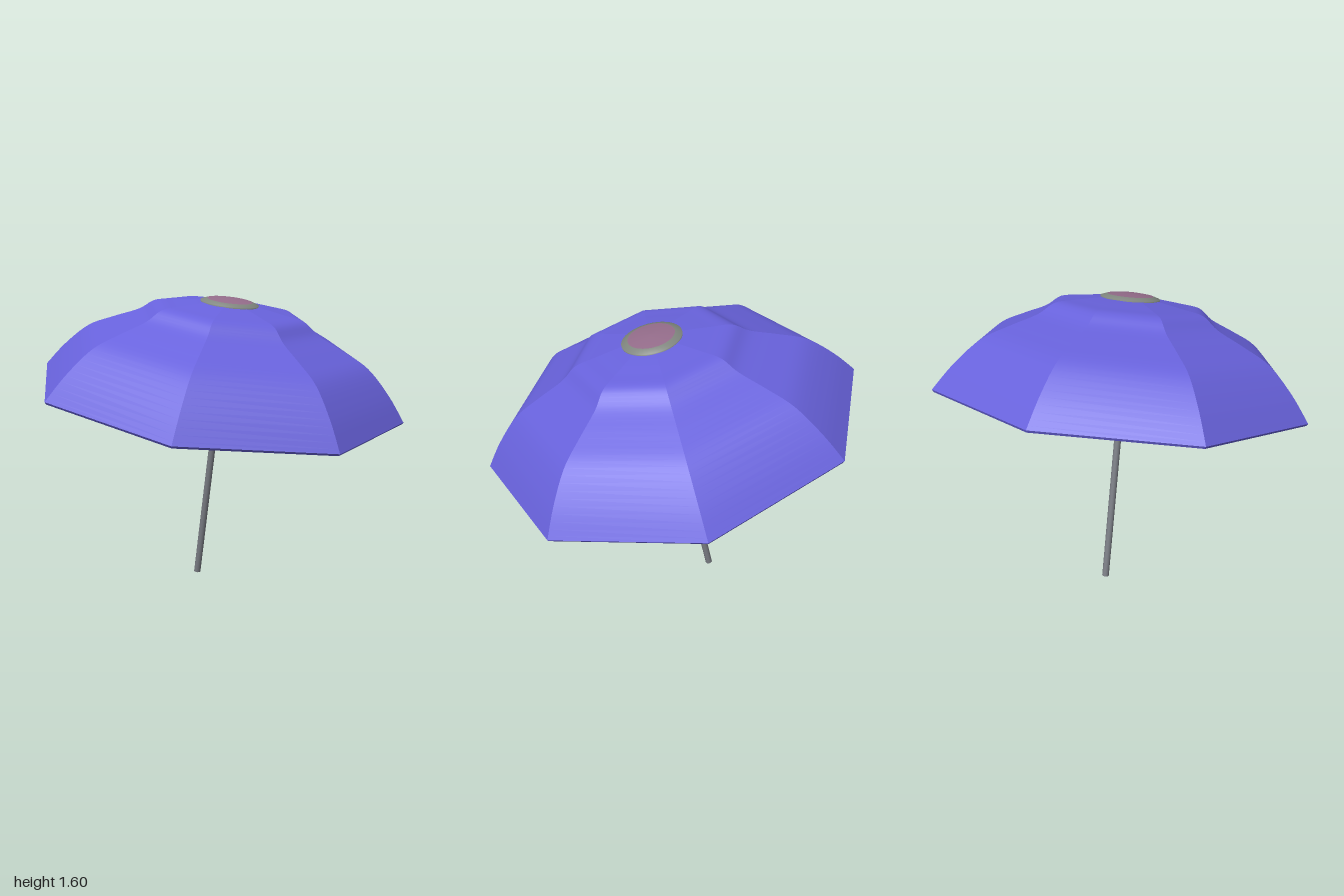
import * as THREE from 'three';
import { mergeGeometries } from 'three/addons/utils/BufferGeometryUtils.js';

const SIDES = 8;
const V = (r, h) => new THREE.Vector2(r, h);

// One panel between two neighbouring ribs, smooth along the profile
function panel(profile, index) {
  const positions = [], faces = [];
  const angles = [index, index + 1].map(k => (k / SIDES) * Math.PI * 2);
  for (const p of profile) {
    for (const t of angles) positions.push(p.x * Math.sin(t), p.y, p.x * Math.cos(t));
  }
  for (let i = 0; i < profile.length - 1; i++) {
    const a = i * 2;
    faces.push(a, a + 2, a + 3, a, a + 3, a + 1);
  }
  const g = new THREE.BufferGeometry();
  g.setAttribute('position', new THREE.Float32BufferAttribute(positions, 3));
  g.setIndex(faces);
  g.computeVertexNormals();
  return g;
}

// All panels around the axis, creased at the ribs
function panels(profile) {
  return mergeGeometries(Array.from({ length: SIDES }, (_, k) => panel(profile, k)));
}

export function createModel() {
  const fabric = new THREE.MeshStandardMaterial({ name: 'blue fabric', color: 0x6862dc });
  const metal = new THREE.MeshStandardMaterial({ name: 'grey metal', color: 0x7b7e85 });
  const trim = new THREE.MeshStandardMaterial({ name: 'grey green trim', color: 0x80867f });
  const badge = new THREE.MeshStandardMaterial({ name: 'dusty pink', color: 0x946c8a });

  const model = new THREE.Group();
  model.name = 'parasol';

  // Everything leans forward about the centre of the canopy rim
  const tilted = new THREE.Group();
  tilted.name = 'tiltedParasol';
  tilted.position.y = 1.083;
  tilted.rotation.x = THREE.MathUtils.degToRad(12);
  model.add(tilted);

  const add = (name, geometry, material) => {
    const mesh = new THREE.Mesh(geometry, material);
    mesh.name = name;
    tilted.add(mesh);
    return mesh;
  };

  // Rib profile from the crown to the rim
  const outer = new THREE.SplineCurve([
    V(0, 0.5), V(0.15, 0.485), V(0.3, 0.464), V(0.405, 0.445), V(0.49, 0.385),
    V(0.63, 0.323), V(0.77, 0.253), V(0.9, 0.128), V(1, 0),
  ]).getPoints(40);
  const inner = outer.map(p => V(p.x * 0.992, p.y - 0.012)).reverse();

  // Canopy: outer cloth, hem and lining
  add('canopy', panels(outer), fabric);
  add('canopyHem', panels([outer[outer.length - 1], inner[0]]), fabric);
  add('canopyLining', panels(inner), fabric);

  // Pole up to the crown
  const pole = add('pole', new THREE.CylinderGeometry(0.019, 0.019, 1.593, 16), metal);
  pole.position.y = -1.103 + 1.593 / 2;

  // Shallow domed crown disc with a trim ring
  add('crownRing', new THREE.LatheGeometry([V(0.155, 0.478), V(0.155, 0.49), V(0.12, 0.502)], 40), trim);
  add('crownDisc', new THREE.LatheGeometry([V(0.12, 0.502), V(0.06, 0.51), V(0, 0.512)], 40), badge);

  return model;
}
